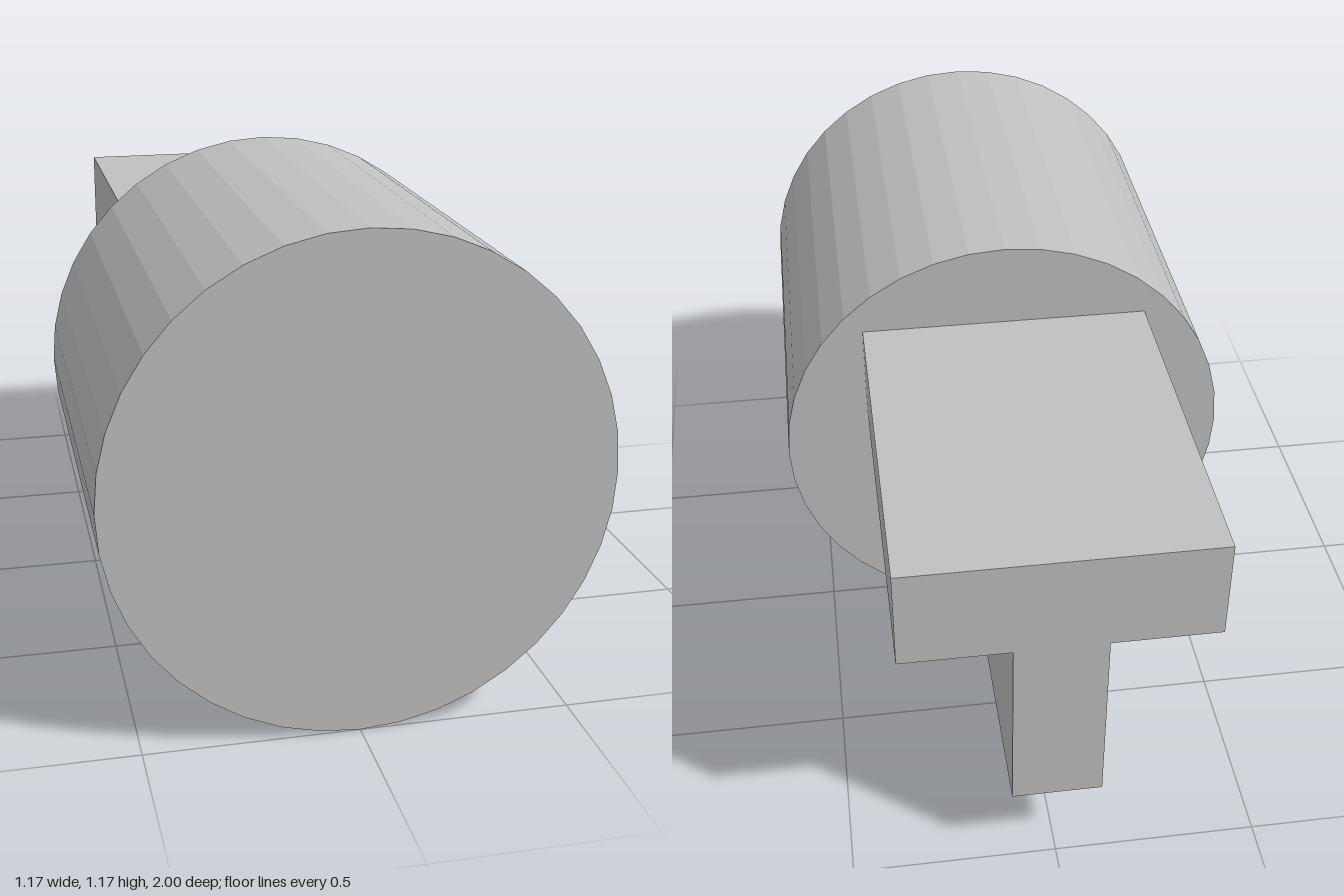
import * as THREE from 'three';

export function createModel() {
  const group = new THREE.Group();
  const grey = new THREE.MeshStandardMaterial({ color: 0xc0c0c0, flatShading: true });
  grey.name = 'plain grey';

  const radius = 0.586, front = 1, shoulder = -0.07, back = -1;

  // Faceted round body lying along z
  const bodyGeo = new THREE.CylinderGeometry(radius, radius, front - shoulder, 40);
  bodyGeo.rotateX(Math.PI / 2);
  const body = new THREE.Mesh(bodyGeo, grey);
  body.name = 'body';
  body.position.set(0, radius, (front + shoulder) / 2);
  group.add(body);

  // T-shaped tongue: wide flange on a narrow stem
  const flange = 0.368, stem = 0.109, top = 0.957, step = 0.703, bottom = 0.217;
  const outline = [
    [-stem, bottom], [stem, bottom], [stem, step], [flange, step],
    [flange, top], [-flange, top], [-flange, step], [-stem, step],
  ];
  const shape = new THREE.Shape(outline.map(([x, y]) => new THREE.Vector2(x, y)));
  const tongueGeo = new THREE.ExtrudeGeometry(shape, { depth: shoulder - back, bevelEnabled: false });
  const tongue = new THREE.Mesh(tongueGeo, grey);
  tongue.name = 'tongue';
  tongue.position.z = back;
  group.add(tongue);

  return group;
}
